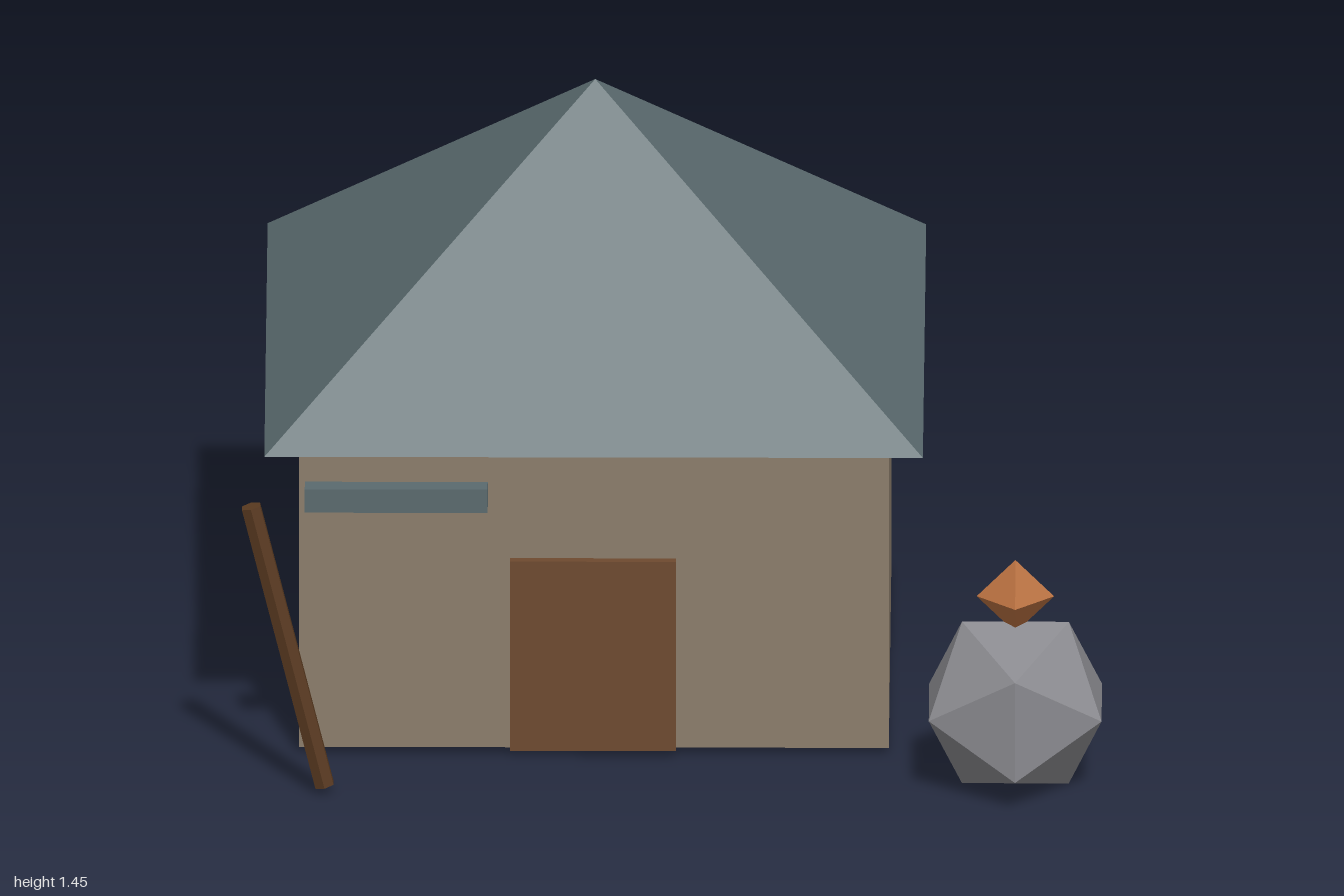
import * as THREE from 'three';

const material = (name, color) => {
  const m = new THREE.MeshStandardMaterial({ color, flatShading: true });
  m.name = name;
  return m;
};

export function createModel() {
  const model = new THREE.Group();
  model.name = 'hut';

  const wall = material('clay wall', 0x8b7d6b);
  const slate = material('slate', 0x5a6a6e);
  const doorWood = material('door wood', 0x6e4a2f);
  const postWood = material('dark wood', 0x5a3a20);
  const stone = material('stone', 0x8a8a8f);
  const copper = material('copper', 0xb87040);

  const add = (name, geometry, mat, x, y, z) => {
    const mesh = new THREE.Mesh(geometry, mat);
    mesh.name = name;
    mesh.position.set(x, y, z);
    model.add(mesh);
    return mesh;
  };

  // House body with a door standing proud of the front wall
  add('walls', new THREE.BoxGeometry(1.37, 0.785, 1.18), wall, -0.18, 0.4075, -0.105);
  add('door', new THREE.BoxGeometry(0.385, 0.47, 0.05), doorWood, -0.182, 0.25, 0.483);

  // Square pyramid roof with overhanging eaves
  const roof = new THREE.ConeGeometry(1.53 / Math.SQRT2, 0.65, 4);
  roof.rotateY(Math.PI / 4);
  add('roof', roof, slate, -0.18, 1.125, -0.11);

  // Leaning post and the sign board beside it
  const post = add('post', new THREE.CylinderGeometry(0.025, 0.025, 0.713, 6), postWood, -0.89, 0.364, 0.742);
  post.rotation.z = 0.242;
  add('signBoard', new THREE.BoxGeometry(0.425, 0.058, 0.05), slate, -0.638, 0.733, 0.742);

  // Boulder topped with a copper crystal
  add('boulder', new THREE.IcosahedronGeometry(0.236, 0), stone, 0.8, 0.201, 0.676);
  add('crystal', new THREE.OctahedronGeometry(0.09, 0), copper, 0.8, 0.465, 0.676);

  return model;
}
